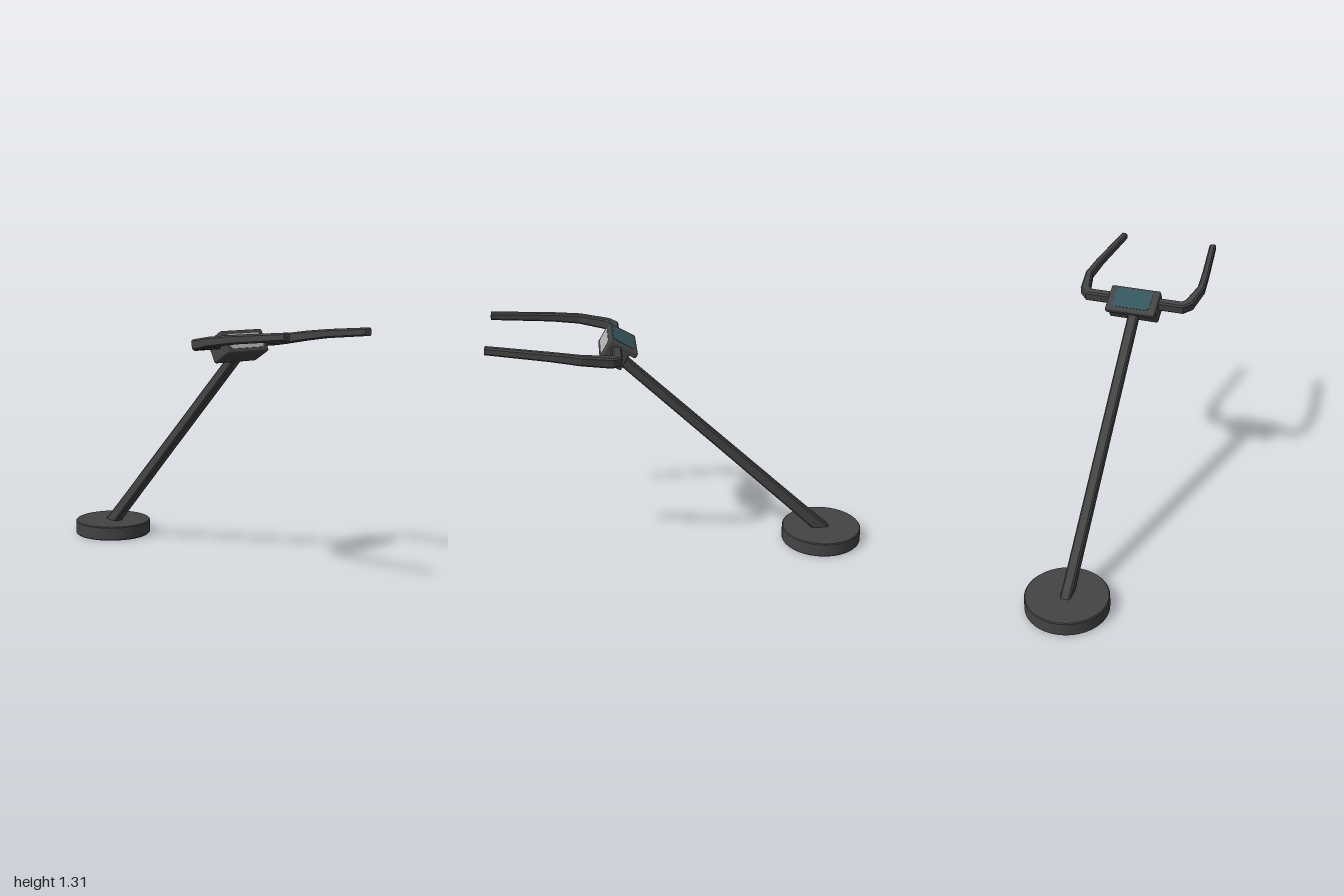
import * as THREE from 'three';
import { RoundedBoxGeometry } from 'three/addons/geometries/RoundedBoxGeometry.js';

// Sweep a bevelled rectangular section along points [x, y, z, width, height].
function sweepBar(points, upHint, bevel = 0.008) {
  const centres = points.map(p => new THREE.Vector3(p[0], p[1], p[2]));
  const last = points.length - 1;
  const rings = points.map(([, , , w, h], i) => {
    const before = centres[i].clone().sub(centres[Math.max(i - 1, 0)]).normalize();
    const after = centres[Math.min(i + 1, last)].clone().sub(centres[i]).normalize();
    const tangent = before.clone().add(after).normalize();
    const side = upHint.clone().cross(tangent).normalize();
    const up = tangent.clone().cross(side);
    const miter = 1 / tangent.dot(i === last ? before : after);
    const a = w / 2, b = h / 2, c = bevel;
    const section = [[a, c - b], [a, b - c], [a - c, b], [c - a, b],
      [-a, b - c], [-a, c - b], [c - a, -b], [a - c, -b]];
    return section.map(([s, u]) => centres[i].clone()
      .addScaledVector(side, s * miter).addScaledVector(up, u));
  });
  const corners = [];
  for (let i = 0; i < last; i++) {
    for (let j = 0; j < 8; j++) {
      const k = (j + 1) % 8;
      const [a, b, c, d] = [rings[i][j], rings[i][k], rings[i + 1][k], rings[i + 1][j]];
      corners.push(a, b, c, a, c, d);
    }
  }
  for (let j = 1; j < 7; j++) {
    corners.push(rings[0][0], rings[0][j + 1], rings[0][j]);
    corners.push(rings[last][0], rings[last][j], rings[last][j + 1]);
  }
  const geometry = new THREE.BufferGeometry().setFromPoints(corners);
  geometry.computeVertexNormals();
  return geometry;
}

// Thin plate with clipped corners, facing +z.
function clippedPlate(w, h, cut) {
  const a = w / 2, b = h / 2, c = cut;
  const outline = [[a, c - b], [a, b - c], [a - c, b], [c - a, b],
    [-a, b - c], [-a, c - b], [c - a, -b], [a - c, -b]];
  const shape = new THREE.Shape(outline.map(p => new THREE.Vector2(...p)));
  return new THREE.ExtrudeGeometry(shape, { depth: 0.004, bevelEnabled: false });
}

export function createModel() {
  const model = new THREE.Group();
  const paint = (name, color) => {
    const material = new THREE.MeshStandardMaterial({ color });
    material.name = name;
    return material;
  };
  const charcoal = paint('charcoal', 0x444444);
  const paleGrey = paint('pale grey', 0xb0b0b0);
  const teal = paint('dark teal', 0x35565d);
  const add = (parent, name, geometry, material) => {
    const mesh = new THREE.Mesh(geometry, material);
    mesh.name = name;
    parent.add(mesh);
    return mesh;
  };

  // Round foot with a slightly softened rim
  const rim = [[0, 0], [0.215, 0], [0.215, 0], [0.22, 0.005], [0.22, 0.005],
    [0.22, 0.075], [0.22, 0.075], [0.215, 0.08], [0.215, 0.08], [0, 0.08]];
  const discParts = new THREE.Group();
  discParts.name = 'base';
  discParts.position.x = -0.78;
  model.add(discParts);
  for (let i = 0; i < rim.length - 1; i++) {
    const [p, q] = [rim[i], rim[i + 1]];
    if (p[0] === q[0] && p[1] === q[1]) continue;
    const strip = new THREE.LatheGeometry([new THREE.Vector2(...p), new THREE.Vector2(...q)], 40);
    add(discParts, 'baseSurface', strip, charcoal);
  }

  // Slanted pole, thicker at the foot
  add(model, 'pole', sweepBar([
    [-0.805, 0.045, 0, 0.056, 0.07], [-0.6, 0.24, 0, 0.056, 0.064],
    [-0.22, 0.603, 0, 0.056, 0.058], [0.36, 1.155, 0, 0.056, 0.052],
  ], new THREE.Vector3(0, 1, 0)), charcoal);

  // Handlebar: half the path, mirrored across z
  const half = [
    [0.353, 1.207, 0.262, 0.05, 0.054], [0.385, 1.213, 0.292, 0.05, 0.054],
    [0.53, 1.237, 0.319, 0.04, 0.05], [0.68, 1.256, 0.305, 0.038, 0.045],
    [0.995, 1.285, 0.265, 0.037, 0.04],
  ];
  const mirrored = half.map(([x, y, z, w, h]) => [x, y, -z, w, h]).reverse();
  add(model, 'handlebar', sweepBar([...mirrored, ...half],
    new THREE.Vector3(-0.17, 0.98, 0)), charcoal);

  // Tilted control head; its origin is the upper front edge
  const head = new THREE.Group();
  head.name = 'controlHead';
  head.position.set(0.378, 1.274, 0);
  head.rotation.z = Math.PI / 6;
  model.add(head);
  add(head, 'housing', new RoundedBoxGeometry(0.125, 0.125, 0.274, 2, 0.01), charcoal)
    .position.set(-0.0625, -0.0625, 0);
  add(head, 'displayFrame', new RoundedBoxGeometry(0.16, 0.034, 0.274, 2, 0.01), charcoal)
    .position.set(-0.08, -0.017, 0);

  // Screen on the upper face, pale panel on the front face
  const screen = add(head, 'screen', clippedPlate(0.118, 0.2, 0.012), teal);
  screen.rotation.x = -Math.PI / 2;
  screen.position.set(-0.076, -0.002, 0);
  const panel = add(head, 'frontPanel', clippedPlate(0.22, 0.08, 0.012), paleGrey);
  panel.rotation.y = Math.PI / 2;
  panel.position.set(-0.002, -0.063, 0);

  return model;
}
